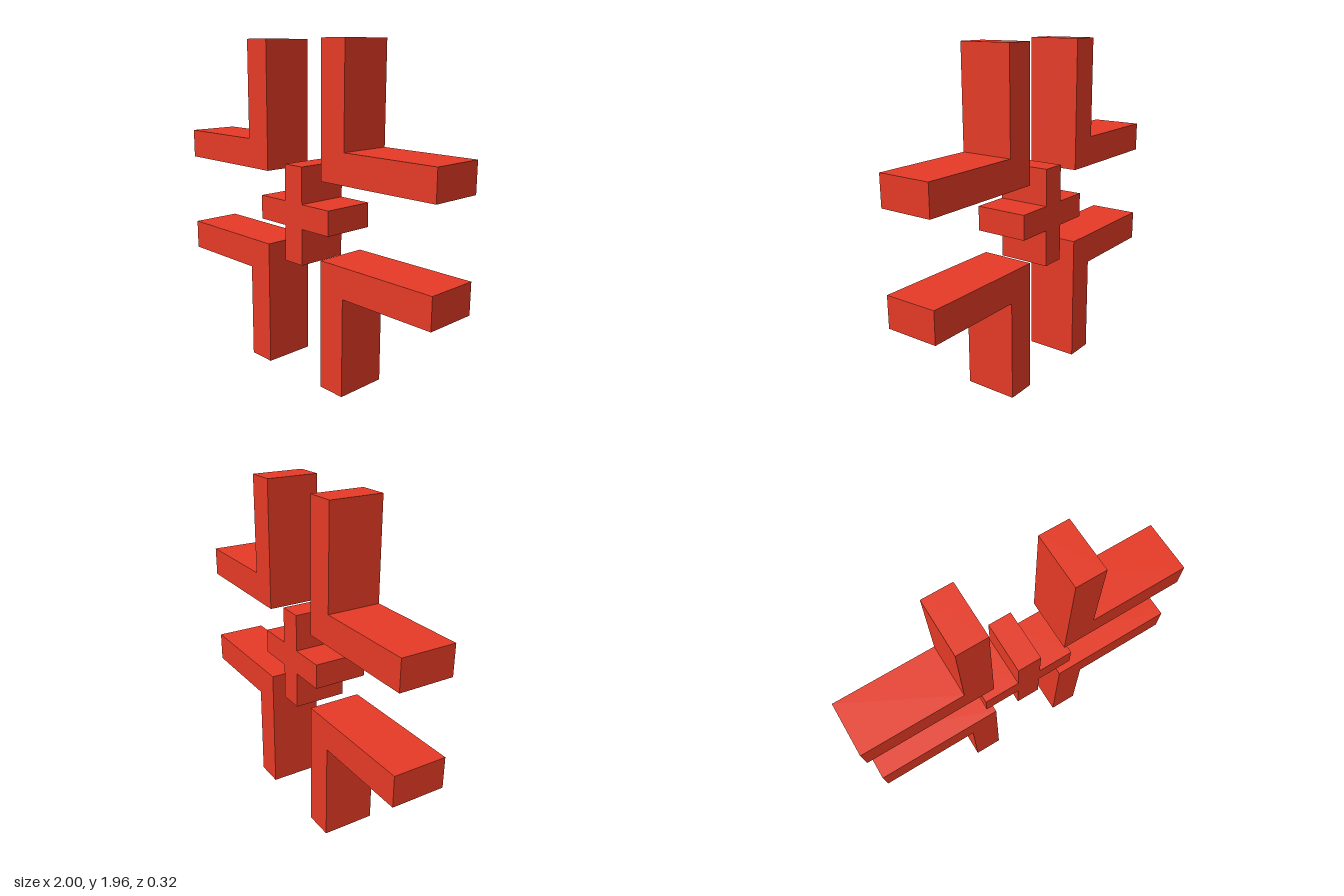
import * as THREE from 'three';

const DEPTH = 0.316;

// Extrudes a closed outline, centred on z = 0
function slab(name, points, material) {
  const shape = new THREE.Shape(points.map(([x, y]) => new THREE.Vector2(x, y)));
  const geometry = new THREE.ExtrudeGeometry(shape, { depth: DEPTH, bevelEnabled: false });
  geometry.translate(0, 0, -DEPTH / 2);
  const mesh = new THREE.Mesh(geometry, material);
  mesh.name = name;
  return mesh;
}

export function createModel() {
  const group = new THREE.Group();
  group.name = 'cornersAndCross';
  const red = new THREE.MeshStandardMaterial({ color: 0xe53a25 });
  red.name = 'red';

  // Four L-shaped corner brackets
  const inner = 0.227, outer = 0.4, end = 1;
  const rows = [
    { name: 'upper', near: 1.208, far: 1.383, tip: 1.962 },
    { name: 'lower', near: 0.762, far: 0.58, tip: 0 },
  ];
  for (const { name, near, far, tip } of rows) {
    for (const side of [1, -1]) {
      const outline = [
        [inner, near], [end, near], [end, far],
        [outer, far], [outer, tip], [inner, tip],
      ].map(([x, y]) => [x * side, y]);
      group.add(slab(`${name}${side > 0 ? 'Left' : 'Right'}Bracket`, outline, red));
    }
  }

  // Central plus-shaped cross
  const a = 0.072, b = 0.286;
  const cross = slab('centerCross', [
    [a, a], [a, b], [-a, b], [-a, a], [-b, a], [-b, -a],
    [-a, -a], [-a, -b], [a, -b], [a, -a], [b, -a], [b, a],
  ], red);
  cross.position.y = 0.982;
  group.add(cross);

  return group;
}
